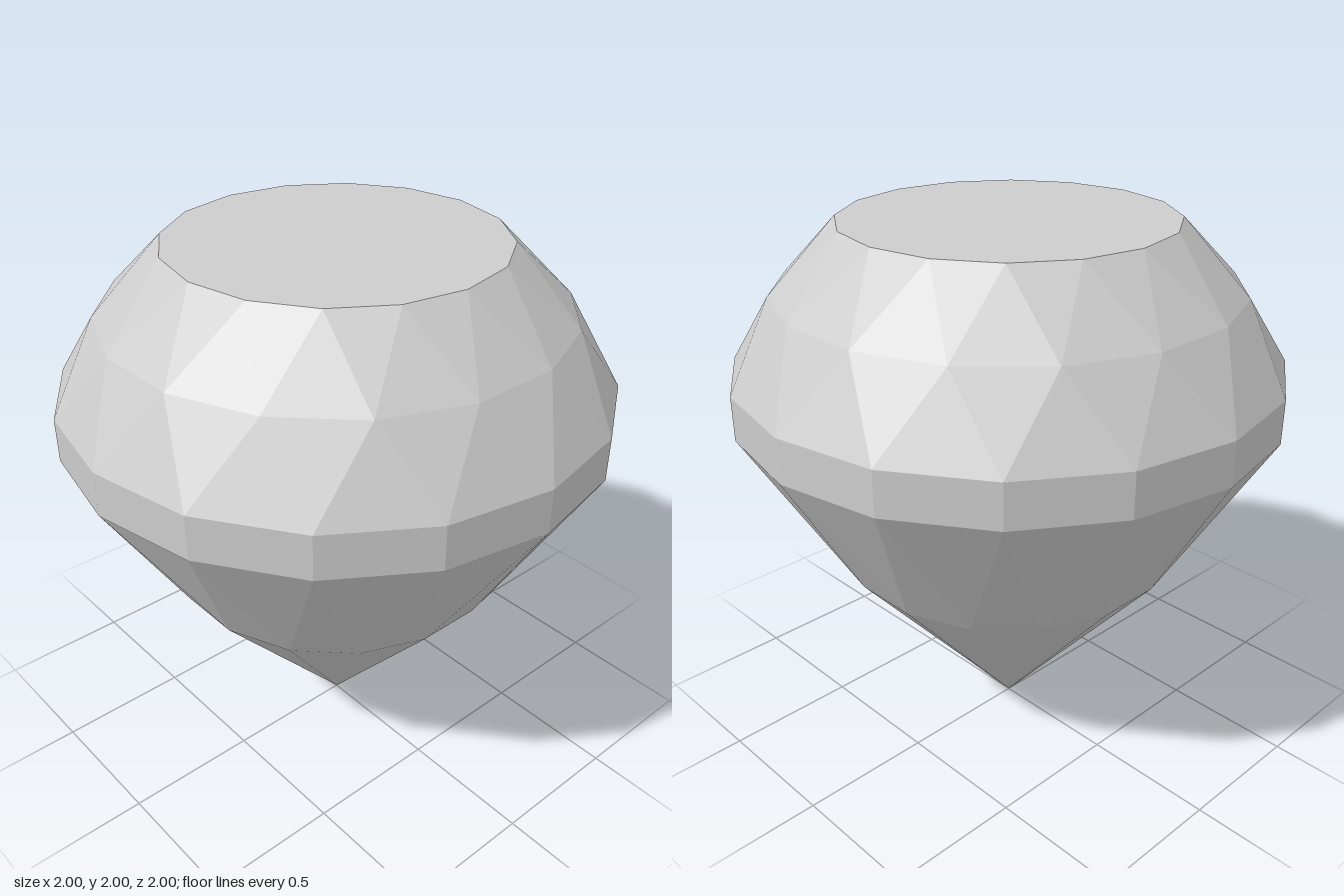
import * as THREE from 'three';

const SIDES = 16;

// Point i of a ring; shift turns the ring by a fraction of one side
function ringPoint({ r, y, shift = 0 }, i) {
  const a = ((i + shift) / SIDES) * Math.PI * 2;
  return [r * Math.sin(a), y, r * Math.cos(a)];
}

// Flat facets joining a lower ring to an upper one
function facetBand(lower, upper) {
  const pos = [];
  const upperTurned = (upper.shift || 0) > (lower.shift || 0);
  for (let i = 0; i < SIDES; i++) {
    const a = ringPoint(lower, i), b = ringPoint(lower, i + 1);
    const c = ringPoint(upper, i), d = ringPoint(upper, i + 1);
    if (lower.r > 0) pos.push(...a, ...b, ...(upperTurned ? c : d));
    if (upper.r > 0) pos.push(...c, ...(upperTurned ? b : a), ...d);
  }
  const geo = new THREE.BufferGeometry();
  geo.setAttribute('position', new THREE.Float32BufferAttribute(pos, 3));
  geo.computeVertexNormals();
  return geo;
}

export function createModel() {
  const gem = new THREE.Group();
  gem.name = 'gem';
  const stone = new THREE.MeshStandardMaterial({ color: 0xcccccc, flatShading: true });
  stone.name = 'pale grey stone';

  // Rings from the bottom point to the middle of the flat top
  const rings = [
    { r: 0, y: 0, shift: 0.5 },
    { r: 0.63, y: 0.72, shift: 0.5 },
    { r: 1, y: 1.32 },
    { r: 1, y: 1.48 },
    { r: 0.836, y: 1.76, shift: 0.5 },
    { r: 0.6, y: 2 },
    { r: 0, y: 2 },
  ];
  const names = ['lowerPavilion', 'upperPavilion', 'girdle', 'lowerCrown', 'upperCrown', 'table'];

  names.forEach((name, i) => {
    const mesh = new THREE.Mesh(facetBand(rings[i], rings[i + 1]), stone);
    mesh.name = name;
    gem.add(mesh);
  });
  return gem;
}
